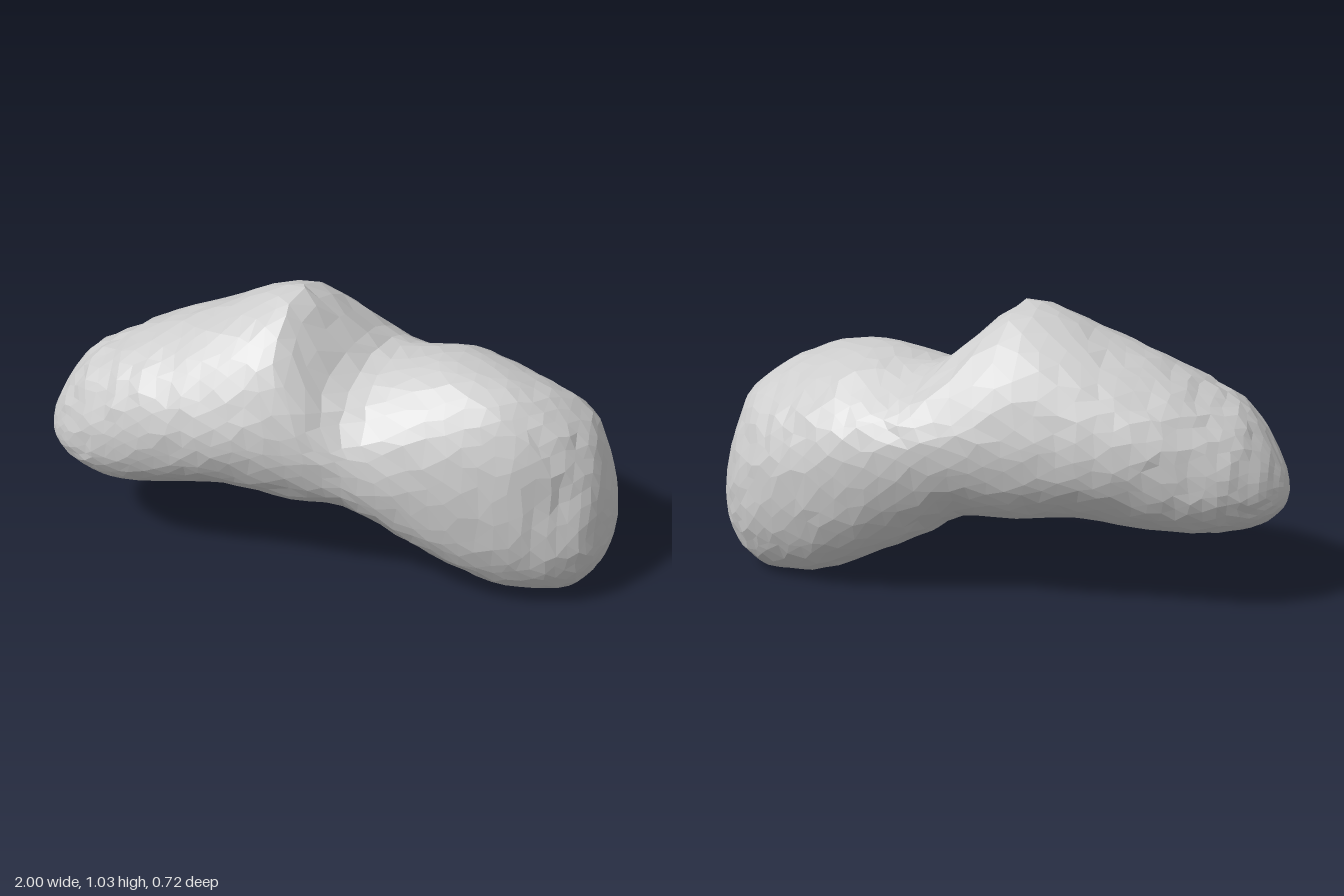
import * as THREE from 'three';

// Long profiles as [x, y]
const TOP = [[-1, 0.42], [-0.995, 0.46], [-0.98, 0.51], [-0.9, 0.65], [-0.8, 0.745], [-0.4, 0.92], [-0.2, 1.01],
  [-0.09, 1.03], [0, 0.96], [0.1, 0.85], [0.2, 0.805], [0.45, 0.835], [0.7, 0.78], [0.9, 0.64], [0.97, 0.46],
  [0.993, 0.35], [1, 0.26]];
const BELLY = [[-1, 0.42], [-0.995, 0.39], [-0.98, 0.36], [-0.9, 0.3], [-0.7, 0.26], [-0.3, 0.295], [-0.1, 0.265],
  [0.1, 0.265], [0.2, 0.21], [0.6, 0.02], [0.75, 0.003], [0.87, 0.02], [0.96, 0.11], [0.993, 0.2], [1, 0.26]];
// Height of the widest line along the front and back
const FRONT_LINE = [[-1, 0.42], [-0.6, 0.53], [-0.15, 0.6], [0.2, 0.49], [0.6, 0.36], [1, 0.26]];
const BACK_LINE = [[-1, 0.42], [-0.6, 0.54], [-0.15, 0.6], [0.3, 0.54], [0.7, 0.42], [1, 0.26]];

const RINGS = 50, SIDES = 34;

// Smooth (Hermite) value of a profile at x
function heightAt(profile, x) {
  const last = profile.length - 1;
  let i = 0;
  while (i < last - 1 && profile[i + 1][0] < x) i++;
  const a = profile[i], b = profile[i + 1];
  const p = profile[Math.max(i - 1, 0)], q = profile[Math.min(i + 2, last)];
  const h = b[0] - a[0], t = (x - a[0]) / h, t2 = t * t, t3 = t2 * t;
  const m0 = (b[1] - p[1]) / (b[0] - p[0]), m1 = (q[1] - a[1]) / (q[0] - a[0]);
  return a[1] * (2 * t3 - 3 * t2 + 1) + h * m0 * (t3 - 2 * t2 + t)
    + b[1] * (3 * t2 - 2 * t3) + h * m1 * (t3 - t2);
}

const bump = (d, w) => Math.exp(-(d * d) / (w * w));
const power = (v, e) => Math.abs(v) ** e;

// Plan outline: rounded ends, blunter at the front of the large lobe
const taper = (x, e) => Math.sqrt(1 - power(x, e));
const frontAt = (x) => 0.355 * taper(x, x > 0 ? 5.5 : 3);
const backAt = (x) => -(0.36 + 0.03 * Math.min(x, 0)) * taper(x, 3);
const ridgeAt = (x) => 0.08 * bump(x - 0.62, 0.22) - 0.06 * bump(x - 0.17, 0.1);

// Section roundness: below 1 is boxy, above 1 is pointed
function roundnessAt(x, isUpper, isFront) {
  const lobe = THREE.MathUtils.smoothstep(x, 0.1, 0.5);
  if (!isUpper) return 0.95 - 0.12 * lobe;
  const largeLobe = isFront ? -0.14 : 0.1 * THREE.MathUtils.smoothstep(x, 0.45, 0.7);
  return 1 + 0.22 * bump(x + 0.1, 0.25) + lobe * largeLobe;
}

function seeded(seed) {
  return () => {
    seed = (seed * 16807) % 2147483647;
    return seed / 2147483647 - 0.5;
  };
}

function rockGeometry() {
  const random = seeded(77);
  const positions = [-1, 0.42, 0], indices = [];

  for (let r = 0; r < RINGS; r++) {
    // rings crowd together towards the rounded ends
    const x0 = -Math.cos(Math.PI * (r + 0.9) / (RINGS + 0.8));
    const top = heightAt(TOP, x0), belly = heightAt(BELLY, x0);
    const yFront = heightAt(FRONT_LINE, x0), yBack = heightAt(BACK_LINE, x0);
    const endFade = Math.min(1, (1 - Math.abs(x0)) * 5);
    for (let s = 0; s < SIDES; s++) {
      const jitter = random() * 0.1 * endFade;
      const angle = (s + (r % 2) / 2) / SIDES * Math.PI * 2 + jitter;
      const c = Math.cos(angle), n = Math.sin(angle);
      // four quarter curves joined at ridge, front, belly and back
      const zSide = n >= 0 ? frontAt(x0) : backAt(x0), ySide = n >= 0 ? yFront : yBack;
      const zMid = c > 0 ? ridgeAt(x0) * endFade : 0;
      const e = roundnessAt(x0, c > 0, n >= 0);
      let z = zMid + (zSide - zMid) * power(n, e);
      let y = ySide + ((c >= 0 ? top : belly) - ySide) * power(c, e);
      // the saddle runs diagonally across the top
      const upper = Math.max(0, c);
      let x = x0 - 0.48 * z * bump(x0 - 0.08, 0.28) * upper;
      // shallow hollows: front of the neck, back shoulder, pit on the large end
      z -= 0.015 * Math.max(0, n) * bump(x - 0.12, 0.13) * bump(y - 0.65, 0.2);
      y -= 0.04 * bump(x - 0.38, 0.13) * bump(z + 0.24, 0.1) * upper;
      z -= 0.025 * Math.max(0, n) * bump(x - 0.8, 0.07) * bump(y - 0.45, 0.1);
      // rough surface
      const rough = 0.005 * endFade * Math.sin(9 * x + 7 * y) * Math.sin(11 * z - 8 * y + 2);
      x += random() * 0.022 * endFade;
      y += c * rough + random() * 0.006 * endFade * Math.abs(n);
      z += n * rough + random() * 0.006 * endFade;
      positions.push(x, y, z);
    }
  }
  const tip = positions.push(1, 0.26, 0) / 3 - 1;

  // skin between the rings, closed by a fan at each end
  const id = (r, s) => 1 + r * SIDES + (s % SIDES);
  for (let s = 0; s < SIDES; s++) {
    indices.push(0, id(0, s + 1), id(0, s));
    indices.push(tip, id(RINGS - 1, s), id(RINGS - 1, s + 1));
    for (let r = 0; r < RINGS - 1; r++) {
      const a = id(r, s), b = id(r, s + 1), c = id(r + 1, s), d = id(r + 1, s + 1);
      if (r % 2) indices.push(a, d, c, a, b, d);
      else indices.push(a, b, c, b, d, c);
    }
  }

  const geometry = new THREE.BufferGeometry();
  geometry.setAttribute('position', new THREE.Float32BufferAttribute(positions, 3));
  geometry.setIndex(indices);
  geometry.computeVertexNormals();
  return geometry;
}

export function createModel() {
  const model = new THREE.Group();
  model.name = 'asteroid';
  const material = new THREE.MeshStandardMaterial({ color: 0xcccccc, flatShading: true });
  const body = new THREE.Mesh(rockGeometry(), material);
  body.name = 'rockBody';
  model.add(body);
  return model;
}
